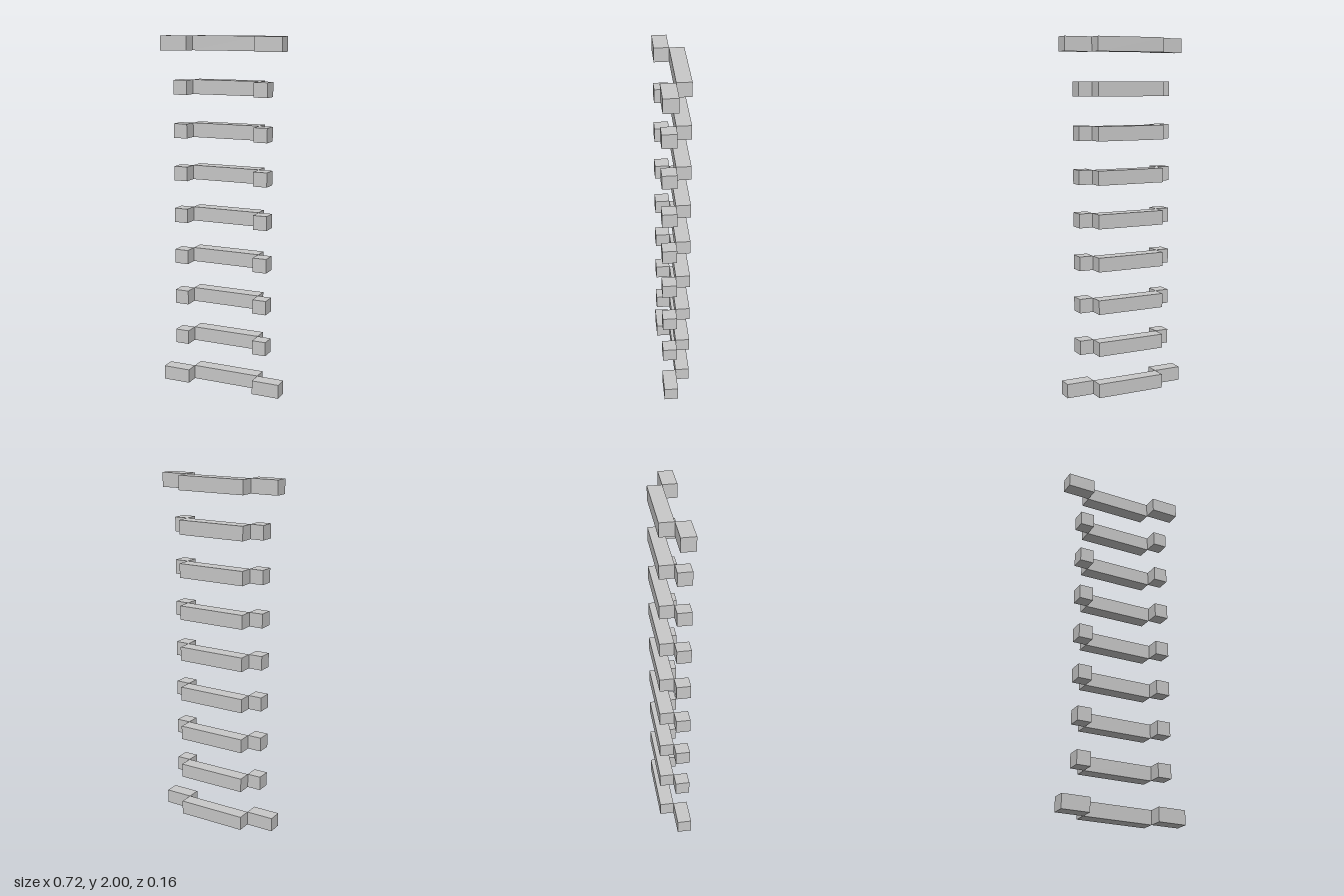
import * as THREE from 'three';

const COUNT = 9;      // rungs in the stack
const PITCH = 0.24;   // vertical spacing
const SIZE = 0.08;    // thickness and depth of every bar
const HALF = 0.2;     // half width of the rear bar

export function createModel() {
  const model = new THREE.Group();
  model.name = 'ladderRungs';
  const grey = new THREE.MeshStandardMaterial({ color: 0xc8c8c8 });
  grey.name = 'light grey';

  const bar = (name, width, x, z) => {
    const mesh = new THREE.Mesh(new THREE.BoxGeometry(width, SIZE, SIZE), grey);
    mesh.name = name;
    mesh.position.set(x, 0, z);
    return mesh;
  };

  for (let i = 0; i < COUNT; i++) {
    const rung = new THREE.Group();
    rung.name = `rung${i + 1}`;
    rung.position.y = SIZE / 2 + i * PITCH;

    // Long bar set to the back
    rung.add(bar('rearBar', HALF * 2, 0, -SIZE / 2));

    // Forward end blocks, longer on the bottom and top rungs
    const end = i === 0 || i === COUNT - 1 ? 0.16 : 0.08;
    for (const side of [-1, 1]) {
      rung.add(bar(side > 0 ? 'leftEnd' : 'rightEnd', end, side * (HALF + end / 2), SIZE / 2));
    }
    model.add(rung);
  }
  return model;
}
